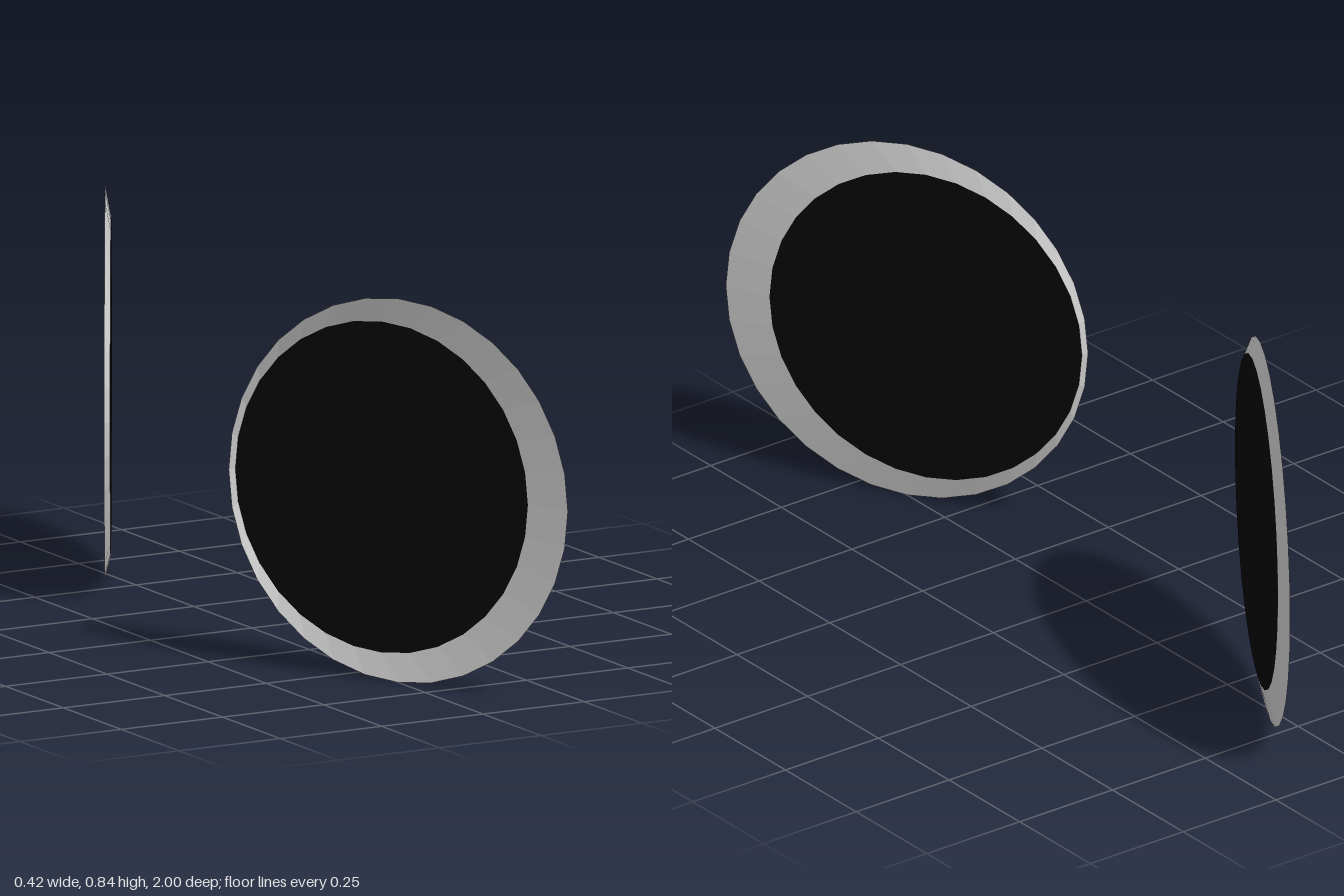
import * as THREE from 'three';

const SEGMENTS = 32;
const OUTER_RADIUS = 0.421;
const INNER_RADIUS = 0.363;
const DEPTH = 0.013; // how far the dark disc sits from the rim plane
const SHIFT = -0.049; // the dark disc lies off centre, towards the narrow edge

const rimMaterial = new THREE.MeshStandardMaterial({ color: 0xcccccc, flatShading: true, side: THREE.DoubleSide });
const discMaterial = new THREE.MeshStandardMaterial({ color: 0x050505, side: THREE.DoubleSide });

// Shallow, off-centre open cone between the outer edge and the dark disc
function rimGeometry() {
  const geometry = new THREE.CylinderGeometry(INNER_RADIUS, OUTER_RADIUS, DEPTH, SEGMENTS, 1, true);
  geometry.translate(0, DEPTH / 2, 0);
  const p = geometry.attributes.position;
  for (let i = 0; i < p.count; i++) {
    if (p.getY(i) > DEPTH / 2) p.setX(i, p.getX(i) + SHIFT);
  }
  geometry.computeVertexNormals();
  return geometry;
}

// One plate: local x runs along the plate outwards, local y is its normal
function makePlate(name, side) {
  const plate = new THREE.Group();
  plate.name = name;

  const rim = new THREE.Mesh(rimGeometry(), rimMaterial);
  rim.name = 'rim';

  const discGeometry = new THREE.CircleGeometry(INNER_RADIUS, SEGMENTS);
  discGeometry.rotateX(-Math.PI / 2);
  const disc = new THREE.Mesh(discGeometry, discMaterial);
  disc.name = 'darkDisc';
  disc.position.set(SHIFT, DEPTH, 0);

  plate.add(rim, disc);

  // Upright, splayed 30 degrees from the z axis
  const c = Math.cos(Math.PI / 6);
  const along = new THREE.Vector3(0.5, 0, side * c);
  const normal = new THREE.Vector3(c, 0, -side * 0.5);
  const across = along.clone().cross(normal);
  plate.quaternion.setFromRotationMatrix(new THREE.Matrix4().makeBasis(along, normal, across));
  plate.position.set(0, 0.423, side * 0.634);
  return plate;
}

export function createModel() {
  const model = new THREE.Group();
  model.name = 'pairOfDiscs';
  model.add(makePlate('frontPlate', 1), makePlate('backPlate', -1));
  return model;
}
